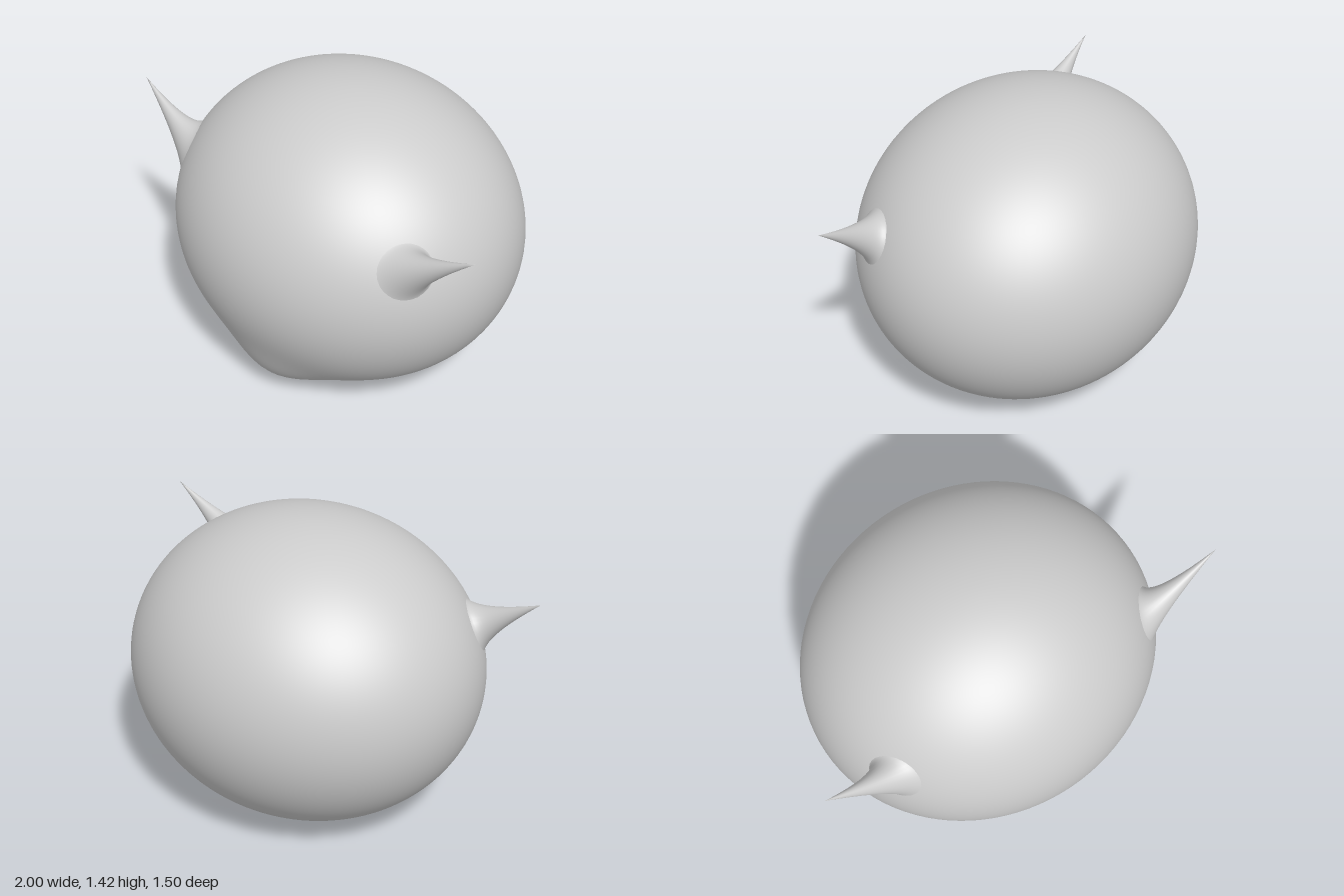
import * as THREE from 'three';
import { mergeVertices } from 'three/addons/utils/BufferGeometryUtils.js';

const CENTER = new THREE.Vector3(-0.015, 0.71, 0);
const RADII = new THREE.Vector3(0.833, 0.71, 0.75);

// Moves every vertex by a rule, welds the seam and smooths the normals
function reshape(geometry, rule) {
  const pos = geometry.attributes.position;
  const v = new THREE.Vector3();
  for (let i = 0; i < pos.count; i++) {
    rule(v.fromBufferAttribute(pos, i));
    pos.setXYZ(i, v.x, v.y, v.z);
  }
  geometry.deleteAttribute('uv');
  geometry.deleteAttribute('normal');
  const welded = mergeVertices(geometry, 1e-5);
  welded.computeVertexNormals();
  return welded;
}

// Drops a point radially onto the body ellipsoid
function onBody(p, scale) {
  return p.clone().sub(CENTER).divide(RADII).normalize()
    .multiplyScalar(scale).multiply(RADII).add(CENTER);
}

// Round body with a soft chin swelling low on the front
function bodyGeometry() {
  const chin = new THREE.Vector3(0.01, -Math.cos(0.69), Math.sin(0.69)).normalize();
  return reshape(new THREE.SphereGeometry(1, 96, 72), (v) => {
    v.normalize();
    const angle = v.angleTo(chin);
    v.multiplyScalar(1 + 0.105 * Math.exp(-((angle / 0.275) ** 2)));
    v.multiply(RADII).add(CENTER);
  });
}

// Horn that flares out of the body surface and tapers to a sharp tip
function hornGeometry(root, tip) {
  const base = onBody(root, 1);
  const normal = base.clone().sub(CENTER).divide(RADII).divide(RADII).normalize();
  const turn = new THREE.Quaternion().setFromUnitVectors(new THREE.Vector3(0, 1, 0), normal);
  const ring = (v, radius, scale) => onBody(
    new THREE.Vector3(v.x, 0, v.z).setLength(radius).applyQuaternion(turn).add(base), scale);
  return reshape(new THREE.CylinderGeometry(1, 1, 1, 28, 18, true), (v) => {
    const t = v.y + 0.5;
    const outer = ring(v, 0.15, 0.99);
    const inner = ring(v, 0.06, 1.0);
    v.set(0, 0, 0)
      .addScaledVector(outer, (1 - t) ** 2)
      .addScaledVector(inner, 2 * t * (1 - t))
      .addScaledVector(tip, t * t);
  });
}

export function createModel() {
  const group = new THREE.Group();
  const grey = new THREE.MeshStandardMaterial({ color: 0xcccccc });
  grey.name = 'light grey';

  const add = (name, geometry) => {
    const mesh = new THREE.Mesh(geometry, grey);
    mesh.name = name;
    group.add(mesh);
  };

  add('body', bodyGeometry());
  add('leftHorn', hornGeometry(
    new THREE.Vector3(0.67, 0.96, 0.37), new THREE.Vector3(1, 1.185, 0.34)));
  add('rightHorn', hornGeometry(
    new THREE.Vector3(-0.7, 0.96, 0.36), new THREE.Vector3(-1, 1.17, 0.325)));
  return group;
}
